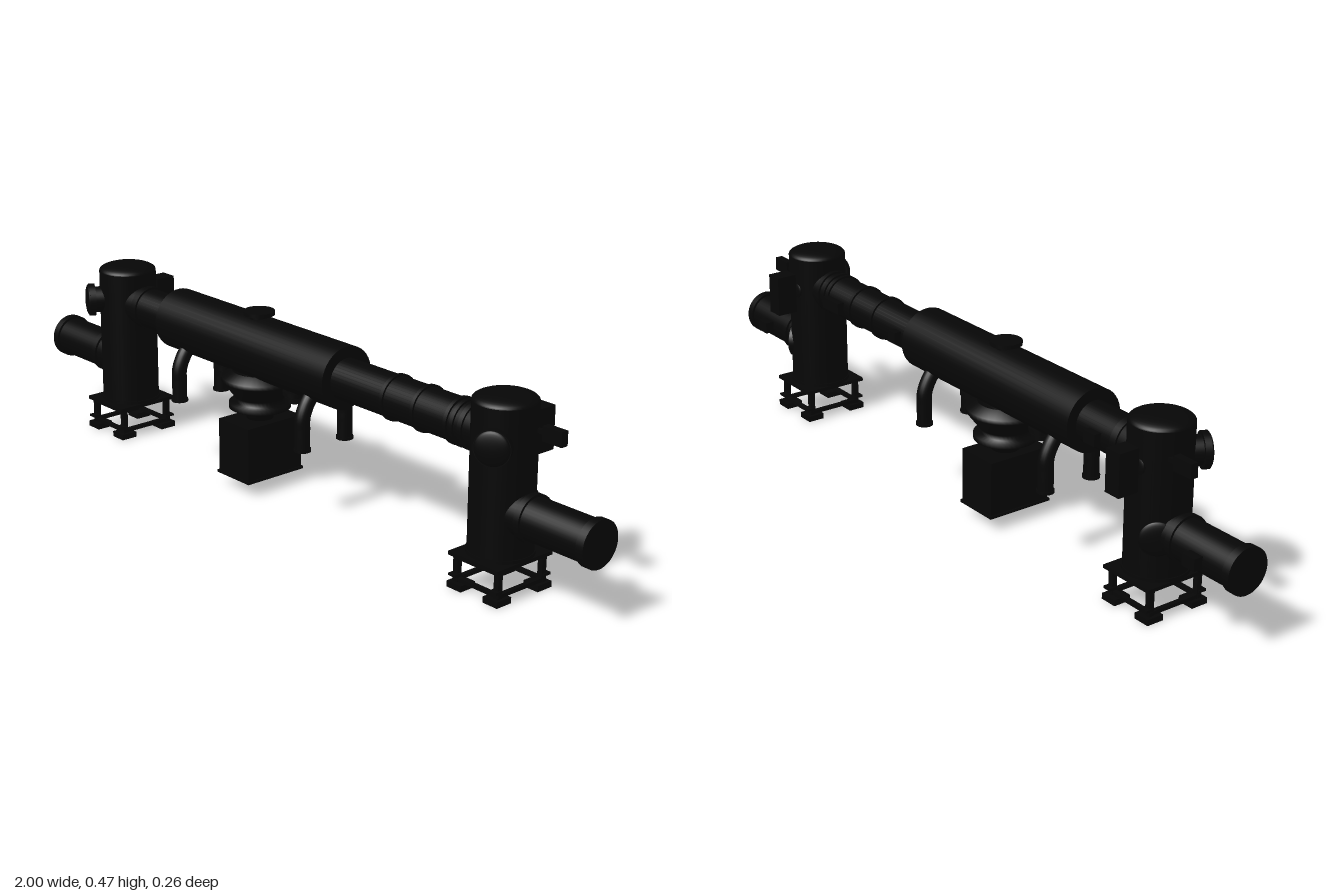
import * as THREE from 'three';

export function createModel() {
  const root = new THREE.Group();
  const model = new THREE.Group();
  model.name = 'processUnit';
  model.position.z = 0.013;
  root.add(model);
  const mat = new THREE.MeshStandardMaterial({ color: 0x060606 });
  const matOpen = new THREE.MeshStandardMaterial({ color: 0x060606, side: THREE.DoubleSide });

  function add(parent, name, geo, x = 0, y = 0, z = 0, m = mat) {
    const mesh = new THREE.Mesh(geo, m);
    mesh.name = name;
    mesh.position.set(x, y, z);
    parent.add(mesh);
    return mesh;
  }
  const box = (p, name, w, h, d, x, y, z) => add(p, name, new THREE.BoxGeometry(w, h, d), x, y, z);
  const disc = (p, name, r, h, x, y, z) => add(p, name, new THREE.CylinderGeometry(r, r, h, 40), x, y, z);
  // cylinder along x between x0 and x1
  function pipeX(p, name, r, x0, x1, y) {
    const m = disc(p, name, r, Math.abs(x1 - x0), (x0 + x1) / 2, y, 0);
    m.rotation.z = Math.PI / 2;
    return m;
  }
  // profile of [radius, y] pairs with crisp corners between straight pieces
  function lathe(p, name, pts, x = 0, y = 0, z = 0) {
    return add(p, name, new THREE.LatheGeometry(pts.map(a => new THREE.Vector2(a[0], a[1])), 40), x, y, z, matOpen);
  }
  // round nozzle with a domed cover, pointing horizontally along (dx, dz)
  function manway(p, name, r, x, y, z, dx, dz, from, to) {
    const g = new THREE.Group();
    g.name = name;
    g.position.set(x, y, z);
    g.quaternion.setFromUnitVectors(new THREE.Vector3(0, 1, 0), new THREE.Vector3(dx, 0, dz).normalize());
    disc(g, 'manwayNeck', r * 0.8, to - from, 0, (from + to) / 2, 0);
    disc(g, 'manwayFlange', r, 0.016, 0, to - 0.008, 0);
    const cover = add(g, 'manwayCover', new THREE.SphereGeometry(r * 0.95, 32, 8, 0, Math.PI * 2, 0, Math.PI / 2), 0, to, 0);
    cover.scale.y = 0.22;
    p.add(g);
  }

  // Vertical towers with stand and outer pipe; s points outward along x
  for (const s of [-1, 1]) {
    const t = new THREE.Group();
    t.name = s < 0 ? 'rightTower' : 'leftTower';
    t.position.x = s * 0.709;
    model.add(t);

    disc(t, 'towerShell', 0.077, 0.365, 0, 0.2725, 0);
    const dome = [];
    for (let i = 0; i <= 10; i++) {
      const a = (i / 10) * Math.PI / 2;
      dome.push([0.077 * Math.cos(a), 0.455 + 0.02 * Math.sin(a)]);
    }
    lathe(t, 'towerDome', dome);

    // Stand: top plates, legs, lower frame and foot pads
    box(t, 'standPlate', 0.156, 0.009, 0.18, 0, 0.085, 0);
    disc(t, 'baseRing', 0.08, 0.008, 0, 0.094, 0);
    for (const a of [-1, 1]) {
      box(t, 'standCrossbar', 0.145, 0.008, 0.012, 0, 0.075, a * 0.072);
      box(t, 'lowerCrossbar', 0.145, 0.009, 0.012, 0, 0.021, a * 0.072);
      box(t, 'lowerSidebar', 0.012, 0.009, 0.15, a * 0.065, 0.021, 0);
      for (const b of [-1, 1]) {
        box(t, 'standLeg', 0.014, 0.07, 0.014, a * 0.064, 0.048, b * 0.072);
        box(t, 'footPad', 0.045, 0.015, 0.046, a * 0.057, 0.0075, b * 0.067);
        box(t, 'legCap', 0.022, 0.006, 0.022, a * 0.064, 0.033, b * 0.079);
      }
    }

    // Manways and rear control box
    manway(t, 'upperManway', 0.044, 0, 0.375, 0, s * 0.48, 0.88, 0.05, 0.108);
    manway(t, 'lowerManway', 0.045, 0, 0.197, 0, s * 0.75, -0.66, 0.05, 0.076);
    manway(t, 'rearManway', 0.03, 0, 0.365, 0, 0, -1, 0.04, 0.072);
    box(t, 'controlBox', 0.046, 0.107, 0.056, 0, 0.362, -0.112);
    box(t, 'controlBoxBracket', 0.02, 0.03, 0.03, 0, 0.362, -0.079);
    box(t, 'sideBox', 0.058, 0.036, 0.02, s * 0.118, 0.393, -0.034);
    box(t, 'sideBoxArm', 0.05, 0.01, 0.01, s * 0.078, 0.393, -0.034);

    // Outer pipe
    pipeX(t, 'outerPipe', 0.052, s * 0.03, s * 0.287, 0.2);
    for (const [x0, x1] of [[0.087, 0.103], [0.27, 0.291]]) pipeX(t, 'pipeFlange', 0.058, s * x0, s * x1, 0.2);
    box(t, 'pipeInstrument', 0.04, 0.03, 0.03, s * 0.183, 0.2, -0.06);
  }

  // Horizontal duct between the towers
  pipeX(model, 'connectingPipe', 0.053, -0.67, 0.67, 0.368);
  for (const [x0, x1] of [[-0.62, -0.6], [0.36, 0.37], [0.463, 0.472], [0.57, 0.58], [0.59, 0.6], [0.615, 0.628]])
    pipeX(model, 'ductFlange', 0.058, x0, x1, 0.368);
  for (const [x, w] of [[-0.545, 0.04], [0.245, 0.03], [0.535, 0.075]])
    box(model, 'ductInstrument', w, 0.03, 0.03, x, 0.368, -0.056);

  // Main vessel
  pipeX(model, 'vesselShell', 0.08, -0.478, 0.185, 0.37);
  disc(model, 'topNeck', 0.025, 0.03, -0.145, 0.447, 0);
  disc(model, 'topCap', 0.04, 0.01, -0.145, 0.461, 0);

  // Pairs of outlet elbows and short bottom nozzles
  for (const x of [-0.392, 0.102]) {
    for (const z of [-1, 1]) {
      const path = new THREE.CatmullRomCurve3([[0.33, 0.03], [0.29, 0.058], [0.262, 0.069], [0.23, 0.07], [0.175, 0.07]]
        .map(p => new THREE.Vector3(x, p[0], z * p[1])));
      add(model, 'outletElbow', new THREE.TubeGeometry(path, 24, 0.0195, 20), 0, 0, 0, matOpen);
      disc(model, 'outletFlange', 0.022, 0.007, x, 0.1785, z * 0.07);
    }
  }
  for (const x of [-0.285, -0.008]) {
    disc(model, 'drainNeck', 0.022, 0.05, x, 0.285, 0);
    disc(model, 'drainFlange', 0.031, 0.01, x, 0.283, 0);
    disc(model, 'drainCap', 0.026, 0.012, x, 0.266, 0);
  }

  // Central funnel
  lathe(model, 'funnel', [[0, 0.17], [0.035, 0.17], [0.035, 0.205], [0.052, 0.205], [0.052, 0.211],
    [0.08, 0.211], [0.08, 0.224], [0.058, 0.224], [0.065, 0.24], [0.098, 0.283], [0.098, 0.294], [0.07, 0.31]], -0.145);

  // Collecting bin, open at the bottom, with a rim
  const bin = new THREE.Group();
  bin.name = 'collectingBin';
  bin.position.x = -0.145;
  model.add(bin);
  box(bin, 'binTop', 0.118, 0.008, 0.176, 0, 0.177, 0);
  for (const s of [-1, 1]) {
    box(bin, 'binSide', 0.004, 0.14, 0.176, s * 0.057, 0.108, 0);
    box(bin, 'binEnd', 0.118, 0.14, 0.004, 0, 0.108, s * 0.086);
    box(bin, 'binRimSide', 0.012, 0.007, 0.184, s * 0.057, 0.037, 0);
    box(bin, 'binRimEnd', 0.126, 0.007, 0.012, 0, 0.037, s * 0.086);
  }
  return root;
}
